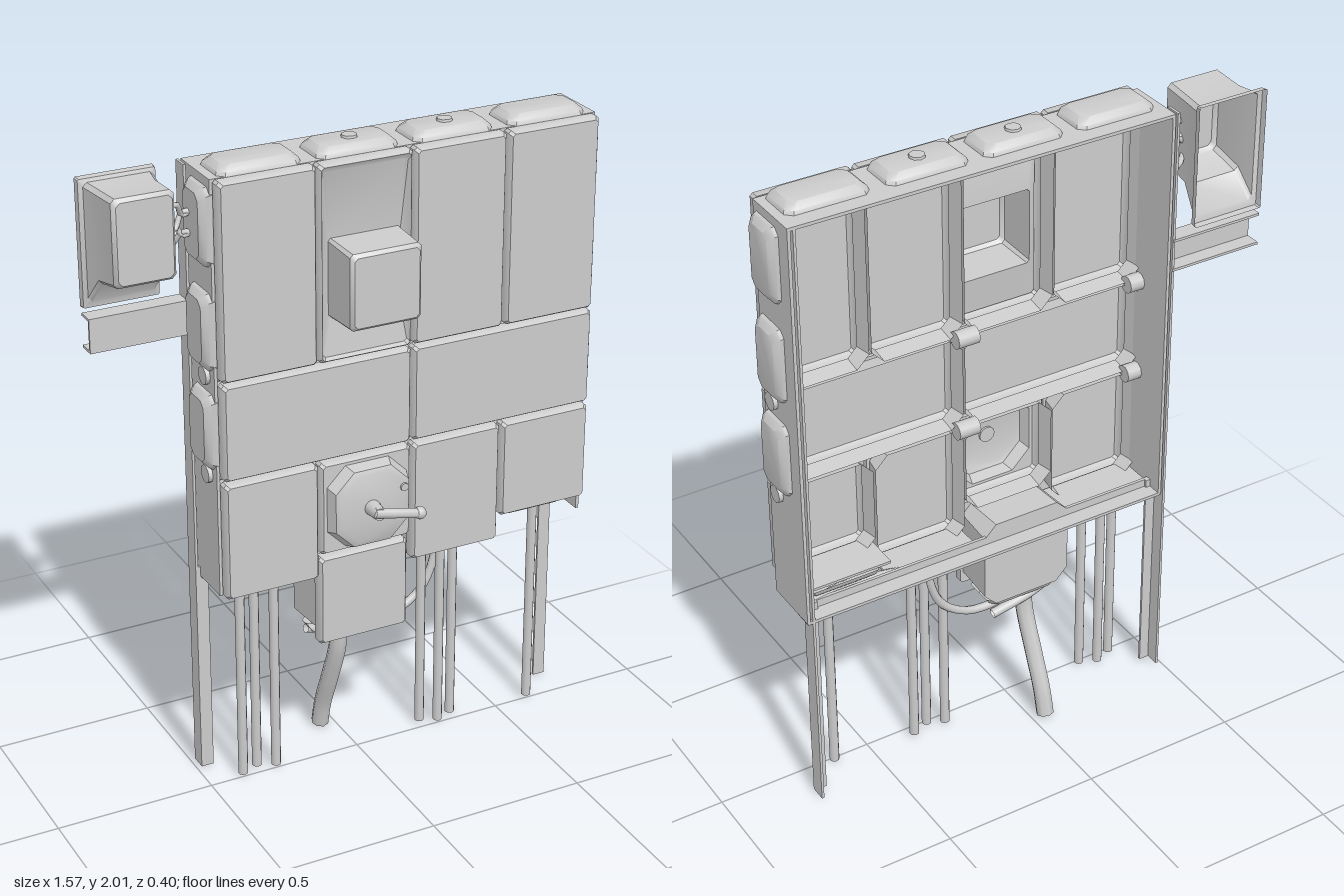
import * as THREE from 'three';
import { toCreasedNormals } from 'three/addons/utils/BufferGeometryUtils.js';

const metal = new THREE.MeshStandardMaterial({ color: 0xcccccc, side: THREE.DoubleSide });

// Skin over chamfered rectangular rings [cx, cy, width, height, z, chamfer], closed at the front
function loft(rings, closedBack = false) {
  const pos = [];
  const loops = rings.map(([cx, cy, w, h, z, c]) => {
    const a = w / 2, b = h / 2;
    return [[a, c - b], [a, b - c], [a - c, b], [c - a, b], [-a, b - c], [-a, c - b], [c - a, -b], [a - c, -b]]
      .map(([x, y]) => [cx + x, cy + y, z]);
  });
  const tri = (...p) => p.forEach((v) => pos.push(...v));
  for (let k = 0; k + 1 < loops.length; k++) {
    for (let i = 0; i < 8; i++) {
      const j = (i + 1) % 8, A = loops[k], B = loops[k + 1];
      tri(A[i], A[j], B[j]);
      tri(A[i], B[j], B[i]);
    }
  }
  const cap = (L, flip) => {
    for (let i = 1; i < 7; i++) flip ? tri(L[0], L[i + 1], L[i]) : tri(L[0], L[i], L[i + 1]);
  };
  cap(loops[loops.length - 1], false);
  if (closedBack) cap(loops[0], true);
  const g = new THREE.BufferGeometry();
  g.setAttribute('position', new THREE.Float32BufferAttribute(pos, 3));
  return toCreasedNormals(g, 0.6);
}

export function createModel() {
  const model = new THREE.Group();
  const add = (name, geo) => {
    const m = new THREE.Mesh(geo, metal);
    m.name = name;
    model.add(m);
    return m;
  };
  // Box given by its limits
  const slab = (name, x0, x1, y0, y1, z0, z1) =>
    add(name, new THREE.BoxGeometry(x1 - x0, y1 - y0, z1 - z0))
      .position.set((x0 + x1) / 2, (y0 + y1) / 2, (z0 + z1) / 2);
  const tube = (name, r, pts, seg = 20) => add(name, new THREE.TubeGeometry(
    new THREE.CatmullRomCurve3(pts.map((p) => new THREE.Vector3(...p))), seg, r, 8));

  // Hollow cabinet with an overhanging lid; extra rings continue from the lid
  const cabinet = (name, x0, x1, y0, y1, extra = [], back = -0.01, closed = false) => {
    const cx = (x0 + x1) / 2, cy = (y0 + y1) / 2, w = x1 - x0, h = y1 - y0;
    add(name, loft([
      [cx, cy, w, h, back, 0.04],
      [cx, cy, w - 0.02, h - 0.02, 0.045, 0.03],
      [cx, cy, w, h, 0.045, 0.008],
      [cx, cy, w, h, 0.07, 0.008],
      [cx, cy, w - 0.016, h - 0.016, 0.083, 0.008],
      ...extra,
    ], closed));
  };

  // Cabinet rows
  const cols = [[-0.465, -0.165], [-0.16, 0.138], [0.145, 0.442], [0.45, 0.75]];
  cols.forEach(([a, b], i) => cabinet('upperCabinet', a, b, 1.365, 1.965, i === 1 ? [
    [-0.01, 1.66, 0.27, 0.56, 0.07, 0.008],
    [-0.005, 1.615, 0.23, 0.24, 0.055, 0.008],
    [-0.005, 1.615, 0.225, 0.232, 0.185, 0.01],
    [-0.005, 1.615, 0.205, 0.212, 0.197, 0.01],
  ] : []));
  cabinet('middleCabinet', -0.465, 0.138, 1.055, 1.358);
  cabinet('middleCabinet', 0.145, 0.75, 1.055, 1.358);
  const bottoms = [0.67, 0.745, 0.655, 0.73];
  cols.forEach(([a, b], i) => cabinet('lowerCabinet', a, b, bottoms[i], 1.045, i === 1 ? [
    [-0.01, 0.895, 0.262, 0.265, 0.083, 0.06],
    [-0.01, 0.895, 0.24, 0.245, 0.12, 0.06],
    [-0.01, 0.895, 0.21, 0.215, 0.128, 0.06],
  ] : []));
  cabinet('hangingCabinet', -0.165, 0.13, 0.44, 0.735, [], -0.1, true);

  // Rotary switch
  const shaft = add('switchShaft', new THREE.CylinderGeometry(0.02, 0.026, 0.06, 12));
  shaft.rotation.x = Math.PI / 2;
  shaft.position.set(-0.015, 0.895, 0.15);
  tube('switchHandle', 0.016, [[-0.03, 0.9, 0.172], [0.05, 0.885, 0.18], [0.11, 0.872, 0.182]], 8);
  const knob = add('switchKnob', new THREE.SphereGeometry(0.02, 10, 8));
  knob.position.set(0.115, 0.872, 0.182);
  const latch = add('switchLatch', new THREE.CylinderGeometry(0.013, 0.013, 0.03, 8));
  latch.rotation.x = Math.PI / 2;
  latch.position.set(0.09, 0.94, 0.12);

  // Raised cable entry covers around the rim, each built flat and turned outwards
  const cover = (x, y, length, height, dir) => {
    const flat = dir === 'up' || dir === 'down';
    const size = (s, t) => (flat ? [s, t] : [t, s]);
    const m = add('entryCover', loft([
      [0, 0, ...size(length, 0.145), 0, 0.02],
      [0, 0, ...size(length - 0.01, 0.135), height * 0.5, 0.02],
      [0, 0, ...size(length - 0.045, 0.1), height, 0.02],
    ]));
    if (dir === 'up') m.rotation.x = -Math.PI / 2;
    if (dir === 'down') m.rotation.x = Math.PI / 2;
    if (dir === 'left') m.rotation.y = Math.PI / 2;
    if (dir === 'right') m.rotation.y = -Math.PI / 2;
    m.position.set(x, y, -0.03);
  };
  cols.forEach(([a, b]) => cover((a + b) / 2, 1.96, 0.26, 0.033, 'up'));
  for (const [y, l] of [[1.82, 0.24], [1.505, 0.24], [1.195, 0.24]]) {
    cover(0.75, y, l, 0.033, 'left');
    cover(-0.465, y, l, 0.035, 'right');
  }
  for (const [x, y] of [[-0.315, 0.672], [0.295, 0.66], [0.6, 0.73]]) cover(x, y, 0.25, 0.032, 'down');
  for (const x of [-0.01, 0.295]) {
    const plug = add('topPlug', new THREE.CylinderGeometry(0.023, 0.026, 0.012, 8));
    plug.position.set(x, 1.994, -0.03);
  }

  // Thin frame skirt, open at the back
  slab('frameTop', -0.47, 0.755, 1.955, 1.965, -0.152, 0.04);
  slab('frameBottom', -0.47, 0.755, 0.665, 0.675, -0.152, -0.09);
  slab('frameBottomLip', -0.47, 0.755, 0.665, 0.7, -0.1, -0.09);
  slab('frameSide', -0.472, -0.462, 0.67, 1.965, -0.152, 0.04);
  slab('frameSide', 0.747, 0.757, 0.67, 1.965, -0.152, 0.04);
  for (const [a, b, y] of [[-0.465, -0.165, 0.675], [0.145, 0.442, 0.66], [0.45, 0.75, 0.735]])
    slab('cabinetFloor', a, b, y, y + 0.008, -0.1, 0.04);

  // Joints where rows and columns meet
  for (const x of [-0.45, 0.14, 0.735]) for (const y of [1.05, 1.362]) {
    const j = add('jointPipe', new THREE.CylinderGeometry(0.028, 0.028, 0.07, 10));
    j.rotation.z = Math.PI / 2;
    j.position.set(x, y, -0.015);
  }

  // Angle posts
  slab('postFace', -0.487, -0.447, 0, 0.7, -0.108, -0.1);
  slab('postFlange', -0.487, -0.479, 0, 1.965, -0.152, -0.1);
  slab('postFace', 0.7, 0.74, 0, 0.7, -0.108, -0.1);
  slab('postFlange', 0.732, 0.74, 0, 1.965, -0.152, -0.1);

  // Conduits to the ground
  const conduits = [[-0.387, 0.66], [-0.33, 0.66], [-0.275, 0.66], [0.24, 0.65], [0.293, 0.65], [0.35, 0.65], [0.62, 0.73]];
  conduits.forEach(([x, h], i) => {
    const c = add('conduit', new THREE.CylinderGeometry(0.015, 0.015, h, 10));
    c.position.set(x, h / 2, i % 2 ? -0.035 : -0.012);
  });

  // Hanging cabinet outlet and cables
  const outlet = add('outletCover', loft([
    [0, 0, 0.26, 0.13, 0, 0.02], [0, 0, 0.22, 0.1, 0.03, 0.02],
  ]));
  outlet.rotation.x = Math.PI / 2;
  outlet.position.set(-0.02, 0.445, -0.03);
  tube('mainCable', 0.028, [[-0.04, 0.44, -0.04], [-0.042, 0.34, -0.05], [-0.045, 0.2, -0.1], [-0.045, 0.08, -0.15], [-0.045, 0, -0.17]]);
  tube('loopCable', 0.013, [[-0.03, 0.43, -0.04], [0.06, 0.405, -0.05], [0.16, 0.41, -0.05], [0.25, 0.47, -0.05], [0.29, 0.56, -0.05], [0.3, 0.65, -0.05]]);
  tube('slackCable', 0.015, [[-0.15, 0.43, -0.05], [-0.06, 0.4, -0.06], [0.08, 0.37, -0.06]]);
  tube('crossCable', 0.014, [[0.36, 0.65, -0.06], [0.46, 0.67, -0.06], [0.6, 0.69, -0.07], [0.72, 0.69, -0.09]]);

  // Side meter box, hollow at the back
  add('meterBox', loft([
    [-0.67, 1.77, 0.235, 0.385, -0.155, 0.004],
    [-0.67, 1.77, 0.23, 0.38, -0.135, 0.004],
    [-0.667, 1.775, 0.21, 0.35, -0.13, 0.012],
    [-0.667, 1.81, 0.19, 0.275, -0.07, 0.012],
    [-0.667, 1.825, 0.185, 0.26, 0.035, 0.012],
    [-0.667, 1.825, 0.165, 0.24, 0.048, 0.012],
  ]));
  // Channel bracket below the meter box
  slab('bracketFace', -0.785, -0.48, 1.455, 1.56, -0.108, -0.1);
  slab('bracketFlange', -0.785, -0.48, 1.552, 1.56, -0.155, -0.1);
  slab('bracketFlange', -0.785, -0.48, 1.455, 1.463, -0.155, -0.1);
  // Loose wires between meter box and cabinets
  for (let i = 0; i < 4; i++) {
    const y = 1.77 + i * 0.03, s = i % 2 ? 1 : -1;
    tube('meterWire', 0.008, [[-0.585, y, -0.04], [-0.545, y + 0.025 * s, -0.07 + i * 0.015], [-0.515, y - 0.02 * s, -0.05], [-0.47, y + 0.01, -0.03]], 12);
  }
  return model;
}
